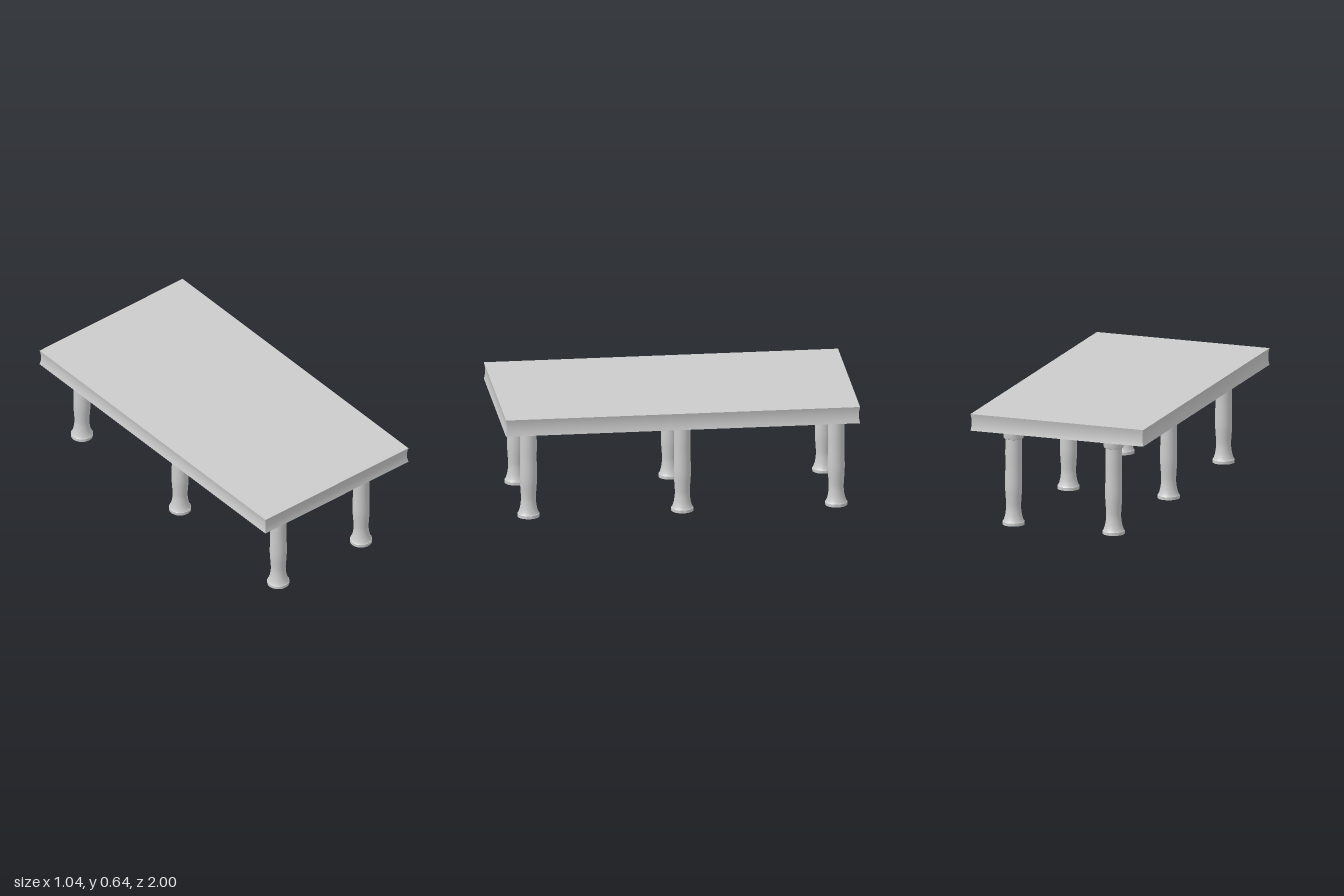
import * as THREE from 'three';
import { toCreasedNormals } from 'three/addons/utils/BufferGeometryUtils.js';

const material = new THREE.MeshStandardMaterial({ color: 0xcccccc });

const named = (geometry, name) => {
  const mesh = new THREE.Mesh(geometry, material);
  mesh.name = name;
  return mesh;
};

const lathe = (profile, segments = 40) =>
  toCreasedNormals(
    new THREE.LatheGeometry(profile.map(([r, y]) => new THREE.Vector2(r, y)), segments),
    0.6
  );

// Slab whose four edges are hollowed inward along a shallow curve
function createTabletop() {
  const width = 1.036, height = 0.096, depth = 2, hollow = 0.006;
  const geometry = new THREE.BoxGeometry(width, height, depth, 1, 10, 1);
  const p = geometry.attributes.position;
  for (let i = 0; i < p.count; i++) {
    const t = p.getY(i) / (height / 2);
    const inset = hollow * (1 - t * t);
    p.setX(i, p.getX(i) - Math.sign(p.getX(i)) * inset);
    p.setZ(i, p.getZ(i) - Math.sign(p.getZ(i)) * inset);
  }
  geometry.computeVertexNormals();
  const top = named(geometry, 'tabletop');
  top.position.y = 0.594;
  return top;
}

// Gently swelling shaft that flares out above the foot
function shaftGeometry() {
  const curve = new THREE.SplineCurve(
    [
      [0.06, 0.019], [0.054, 0.032], [0.047, 0.058], [0.042, 0.1], [0.0435, 0.14],
      [0.0475, 0.2], [0.048, 0.25], [0.0465, 0.34], [0.047, 0.42], [0.046, 0.505],
    ].map(([r, y]) => new THREE.Vector2(r, y))
  );
  return new THREE.LatheGeometry(curve.getPoints(36), 40);
}

const footProfile = [[0, 0], [0.0625, 0], [0.0625, 0.017], [0.06, 0.02], [0, 0.02]];
const collarProfile = [
  [0, 0.497], [0.051, 0.497], [0.055, 0.5], [0.057, 0.507], [0.057, 0.547], [0, 0.547],
];
// Screw: flange against the collar, then a thin pin
const screwProfile = [
  [0, 0], [0.014, 0], [0.014, 0.011], [0.012, 0.014], [0.006, 0.014], [0.006, 0.035], [0, 0.035],
];

export function createModel() {
  const model = new THREE.Group();
  model.name = 'table';
  model.add(createTabletop());

  const shaft = shaftGeometry();
  const foot = lathe(footProfile);
  const collar = lathe(collarProfile);
  const screw = lathe(screwProfile, 20);

  // Three pairs of legs, each with its screw facing the centre line
  for (const side of [-1, 1]) {
    for (const z of [0.847, -0.022, -0.891]) {
      const leg = new THREE.Group();
      leg.name = side > 0 ? 'leftLeg' : 'rightLeg';
      leg.add(named(foot, 'foot'), named(shaft, 'shaft'), named(collar, 'collar'));
      const pin = named(screw, 'clampScrew');
      pin.rotation.z = side * Math.PI / 2;
      pin.position.set(-side * 0.053, 0.528, 0);
      leg.add(pin);
      leg.position.set(side * 0.3, 0, z);
      model.add(leg);
    }
  }
  return model;
}
